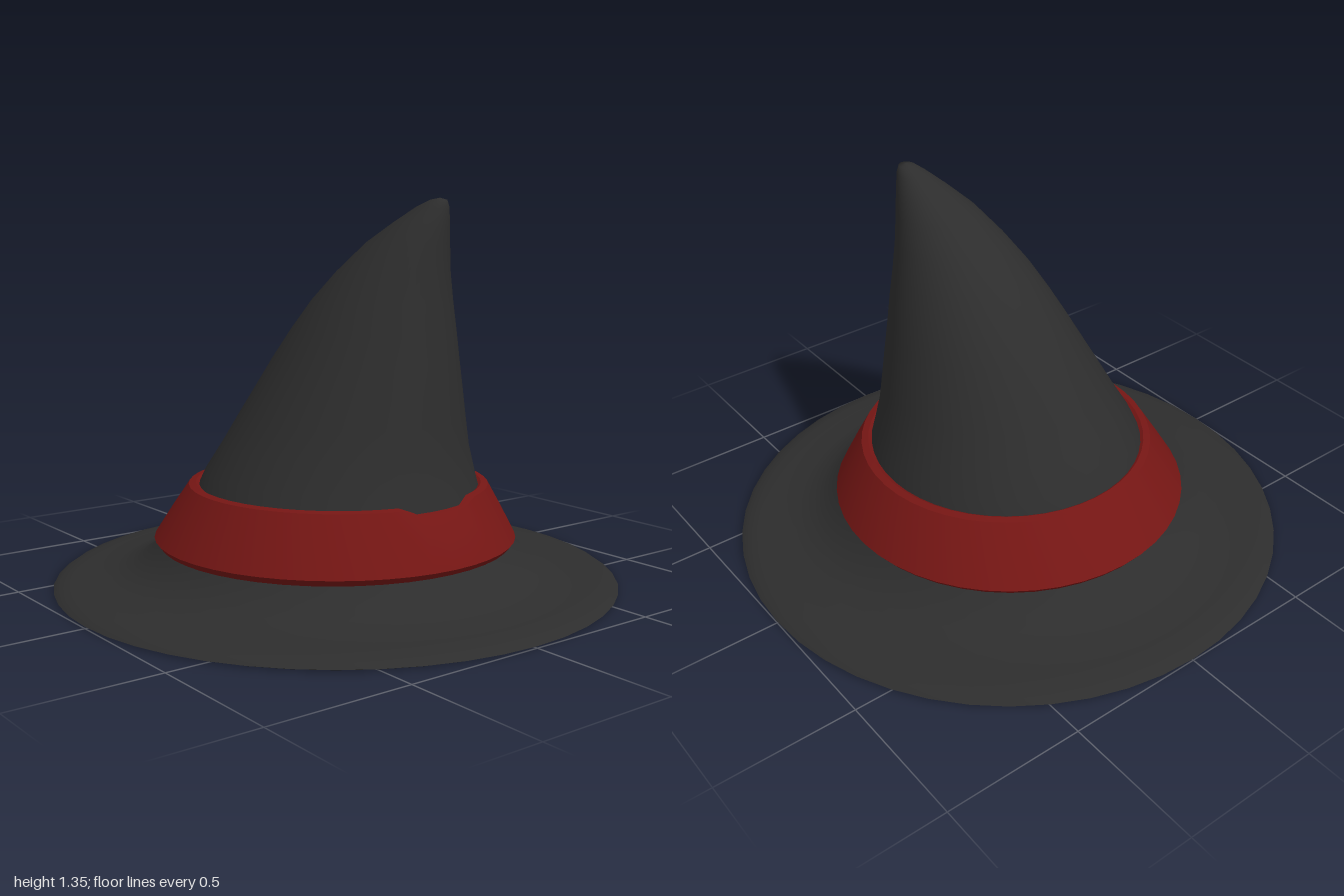
import * as THREE from 'three';
import { toCreasedNormals } from 'three/addons/utils/BufferGeometryUtils.js';

const SEGMENTS = 48;

// Skin over horizontal ellipses listed from bottom to top: [y, xMin, xMax, zMin, zMax]
function loft(sections, inset, inward) {
  const positions = [], indices = [];
  for (const [y, x0, x1, z0, z1] of sections) {
    const rx = Math.max((x1 - x0) / 2 - inset, 0);
    const rz = Math.max((z1 - z0) / 2 - inset, 0);
    for (let i = 0; i < SEGMENTS; i++) {
      const a = (i / SEGMENTS) * Math.PI * 2;
      positions.push((x0 + x1) / 2 + rx * Math.sin(a), y, (z0 + z1) / 2 + rz * Math.cos(a));
    }
  }
  for (let r = 0; r < sections.length - 1; r++) {
    for (let i = 0; i < SEGMENTS; i++) {
      const a = r * SEGMENTS + i, b = r * SEGMENTS + (i + 1) % SEGMENTS;
      const c = a + SEGMENTS, d = b + SEGMENTS;
      if (inward) indices.push(a, d, b, a, c, d);
      else indices.push(a, b, d, a, d, c);
    }
  }
  const geometry = new THREE.BufferGeometry();
  geometry.setAttribute('position', new THREE.Float32BufferAttribute(positions, 3));
  geometry.setIndex(indices);
  geometry.computeVertexNormals();
  return geometry;
}

// Closed ring turned around the y axis; outer side runs upward
function ring(profile) {
  return new THREE.LatheGeometry(profile.map(([r, y]) => new THREE.Vector2(r, y)), SEGMENTS);
}

export function createModel() {
  const hat = new THREE.Group();
  hat.name = 'pointedHat';
  const felt = new THREE.MeshStandardMaterial({ color: 0x2d2d2d });
  const ribbon = new THREE.MeshStandardMaterial({ color: 0x751614 });

  const add = (name, geometry, material, parent = hat) => {
    const mesh = new THREE.Mesh(geometry, material);
    mesh.name = name;
    parent.add(mesh);
  };

  // Hollow crown, leaning to the front left
  const sections = [
    [0.33, -0.505, 0.49, -0.49, 0.53],
    [0.4, -0.475, 0.47, -0.46, 0.51],
    [0.5, -0.42, 0.435, -0.4, 0.488],
    [0.6, -0.37, 0.41, -0.345, 0.475],
    [0.7, -0.32, 0.385, -0.287, 0.463],
    [0.8, -0.27, 0.36, -0.23, 0.45],
    [0.9, -0.22, 0.335, -0.163, 0.437],
    [1.0, -0.165, 0.305, -0.09, 0.425],
    [1.1, -0.1, 0.275, 0.0, 0.413],
    [1.2, -0.025, 0.245, 0.105, 0.408],
    [1.27, 0.045, 0.22, 0.2, 0.404],
    [1.32, 0.1, 0.2, 0.275, 0.398],
    [1.343, 0.13, 0.185, 0.325, 0.388],
    [1.35, 0.16, 0.16, 0.36, 0.36],
  ];
  const crown = new THREE.Group();
  crown.name = 'crown';
  hat.add(crown);
  add('crownOutside', loft(sections, 0, false), felt, crown);
  add('crownLining', loft(sections.slice(0, -2), 0.02, true), felt, crown);

  // Wide brim curling up to the band, open in the middle
  const brim = ring([
    [0.59, 0.14], [0.615, 0.1], [0.66, 0.055], [0.71, 0.03], [0.78, 0.016], [0.9, 0.008], [0.985, 0],
    [1, 0.006], [0.98, 0.02], [0.94, 0.028], [0.89, 0.034], [0.8, 0.041], [0.73, 0.062],
    [0.68, 0.095], [0.64, 0.13], [0.61, 0.165], [0.59, 0.14],
  ]);
  add('brim', toCreasedNormals(brim, 0.9), felt);

  // Band: overhanging lower edge, flat top lip, also seen from inside
  const band = ring([
    [0.58, 0.142], [0.625, 0.142], [0.643, 0.165], [0.585, 0.265], [0.53, 0.355],
    [0.505, 0.36], [0.465, 0.335], [0.525, 0.24], [0.58, 0.142],
  ]);
  const p = band.attributes.position;
  for (let i = 0; i < p.count; i++) {
    const x = p.getX(i), y = p.getY(i), z = p.getZ(i);
    // Shallow dip in the top edge at the front
    if (y > 0.35 && z > 0 && x > -0.1 && x < 0.19) p.setY(i, y - 0.025);
    // Upper part follows the lean of the crown
    p.setX(i, x - 0.005);
    p.setZ(i, z + 0.1 * Math.max(y - 0.16, 0));
  }
  add('band', toCreasedNormals(band, 0.5), ribbon);

  return hat;
}
